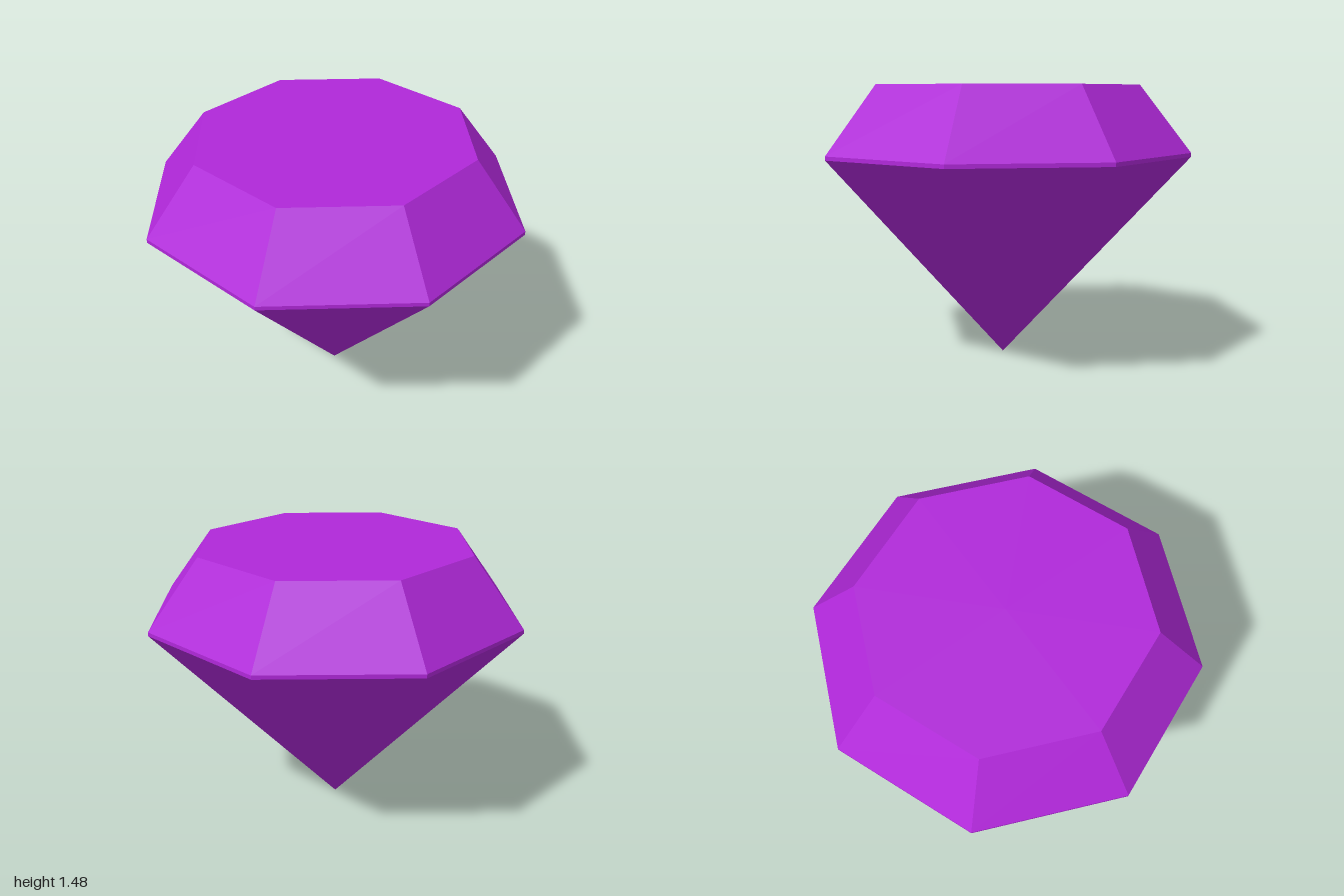
import * as THREE from 'three';

const SIDES = 8;

export function createModel() {
  const gem = new THREE.Group();
  gem.name = 'gem';
  const material = new THREE.MeshStandardMaterial({ color: 0xb028d9, flatShading: true });

  // One ring of facets between two heights
  function addRing(name, rTop, rBottom, yTop, yBottom) {
    const height = yTop - yBottom;
    const geometry = new THREE.CylinderGeometry(rTop, rBottom, height, SIDES, 1, true);
    const mesh = new THREE.Mesh(geometry, material);
    mesh.position.y = yBottom + height / 2;
    mesh.name = name;
    gem.add(mesh);
  }

  addRing('crown', 0.73, 1, 1.475, 1.127); // sloped upper facets
  addRing('girdle', 1, 1, 1.127, 1.107); // thin upright band
  addRing('pavilion', 1, 0, 1.107, 0); // lower facets down to the point

  // Flat top facet
  const table = new THREE.Mesh(new THREE.CircleGeometry(0.73, SIDES), material);
  table.rotation.x = -Math.PI / 2;
  table.position.y = 1.475;
  table.name = 'table';
  gem.add(table);

  return gem;
}
